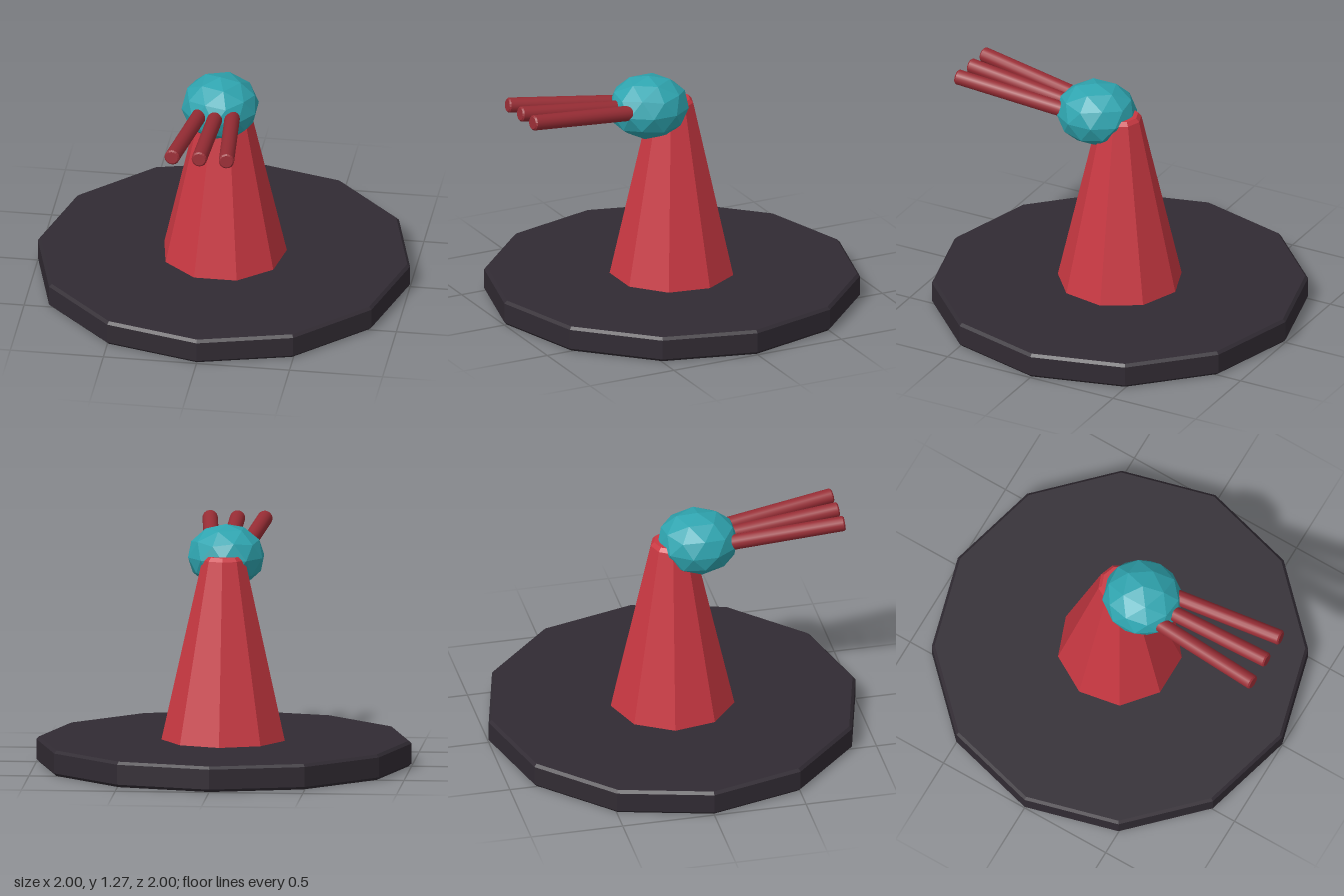
import * as THREE from 'three';

const material = (color) => new THREE.MeshStandardMaterial({ color, flatShading: true });

function addPart(parent, name, geometry, mat) {
  const mesh = new THREE.Mesh(geometry, mat);
  mesh.name = name;
  parent.add(mesh);
  return mesh;
}

// Faceted turned solid, profile listed from bottom to top as [radius, y]
function turned(profile, sides, start = 0) {
  const points = profile.map(([r, y]) => new THREE.Vector2(r, y));
  return new THREE.LatheGeometry(points, sides, start);
}

export function createModel() {
  const model = new THREE.Group();
  model.name = 'pedestalWithProngs';

  const dark = material(0x312b33);
  const red = material(0xc93842);
  const deepRed = material(0x982d35);
  const teal = material(0x2fa5b0);

  // Twelve-sided base plate with a narrow bevel
  const b = 0.015;
  addPart(model, 'basePlate', turned([
    [0, 0], [1 - b, 0], [1, b], [1, 0.137 - b], [1 - b, 0.137], [0, 0.137],
  ], 12), dark);

  // Nine-sided tapering column, one corner pointing back
  addPart(model, 'column', turned([
    [0, 0.12], [0.338, 0.12], [0.116, 1.1], [0.098, 1.12], [0, 1.12],
  ], 9, Math.PI), red);

  // Squashed icosphere head, poles on the vertical axis
  const ball = new THREE.IcosahedronGeometry(1, 1);
  ball.rotateZ(-Math.atan(2 / (1 + Math.sqrt(5))));
  ball.scale(0.208, 0.172, 0.22);
  const head = addPart(model, 'head', ball, teal);
  head.position.set(0, 1.097, 0.14);

  // Three prongs fanning out forwards and slightly up
  const prongs = new THREE.Group();
  prongs.name = 'prongs';
  model.add(prongs);
  const smoothRed = deepRed.clone();
  smoothRed.flatShading = false;
  const names = ['rightProng', 'middleProng', 'leftProng'];
  [-1, 0, 1].forEach((side, i) => {
    const from = new THREE.Vector3(side * 0.079, 1.103, 0.2);
    const to = new THREE.Vector3(side * 0.147, 1.187, 0.908);
    const r = 0.041;
    const length = from.distanceTo(to);
    const prong = new THREE.Group();
    prong.name = names[i];
    prongs.add(prong);
    const shaft = addPart(prong, 'shaft',
      new THREE.CylinderGeometry(r, r, length - 0.008, 16), smoothRed);
    shaft.position.y = (length - 0.008) / 2;
    // Bevelled tip
    const tip = addPart(prong, 'tip',
      new THREE.CylinderGeometry(r - 0.008, r, 0.008, 16), deepRed);
    tip.position.y = length - 0.004;
    prong.position.copy(from);
    prong.quaternion.setFromUnitVectors(
      new THREE.Vector3(0, 1, 0), to.clone().sub(from).normalize());
  });

  return model;
}
